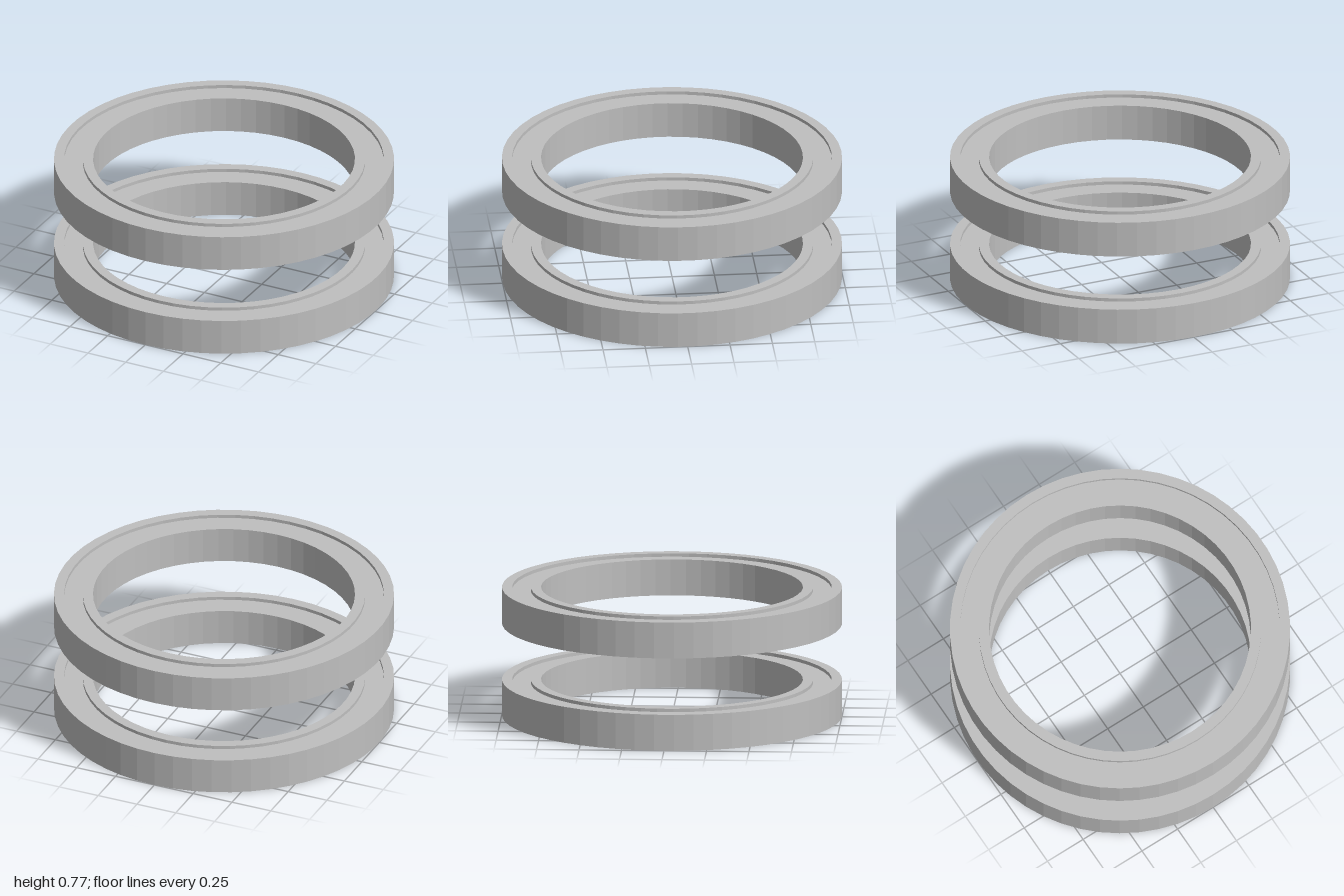
import * as THREE from 'three';

const SEGMENTS = 54;
const HEIGHT = 0.216;
const RECESS = 0.02;

// Closed ring with a rectangular cross-section
function ring(name, inner, outer, bottom, top, material) {
  const profile = [
    [inner, bottom], [outer, bottom], [outer, top], [inner, top], [inner, bottom],
  ].map(([r, y]) => new THREE.Vector2(r, y));
  const mesh = new THREE.Mesh(new THREE.LatheGeometry(profile, SEGMENTS), material);
  mesh.name = name;
  return mesh;
}

// Ball bearing: two races with recessed shields between them
function bearing(name, y, material) {
  const group = new THREE.Group();
  group.name = name;
  group.add(
    ring('outerRace', 0.94, 1, 0, HEIGHT, material),
    ring('shield', 0.83, 0.94, RECESS, HEIGHT - RECESS, material),
    ring('innerRace', 0.77, 0.83, 0, HEIGHT, material),
  );
  group.position.y = y;
  return group;
}

export function createModel() {
  const steel = new THREE.MeshStandardMaterial({ color: 0xbfbfbf });
  steel.name = 'steel grey';
  steel.flatShading = true;

  const model = new THREE.Group();
  model.name = 'bearingPair';
  model.add(bearing('lowerBearing', 0, steel), bearing('upperBearing', 0.555, steel));
  return model;
}
